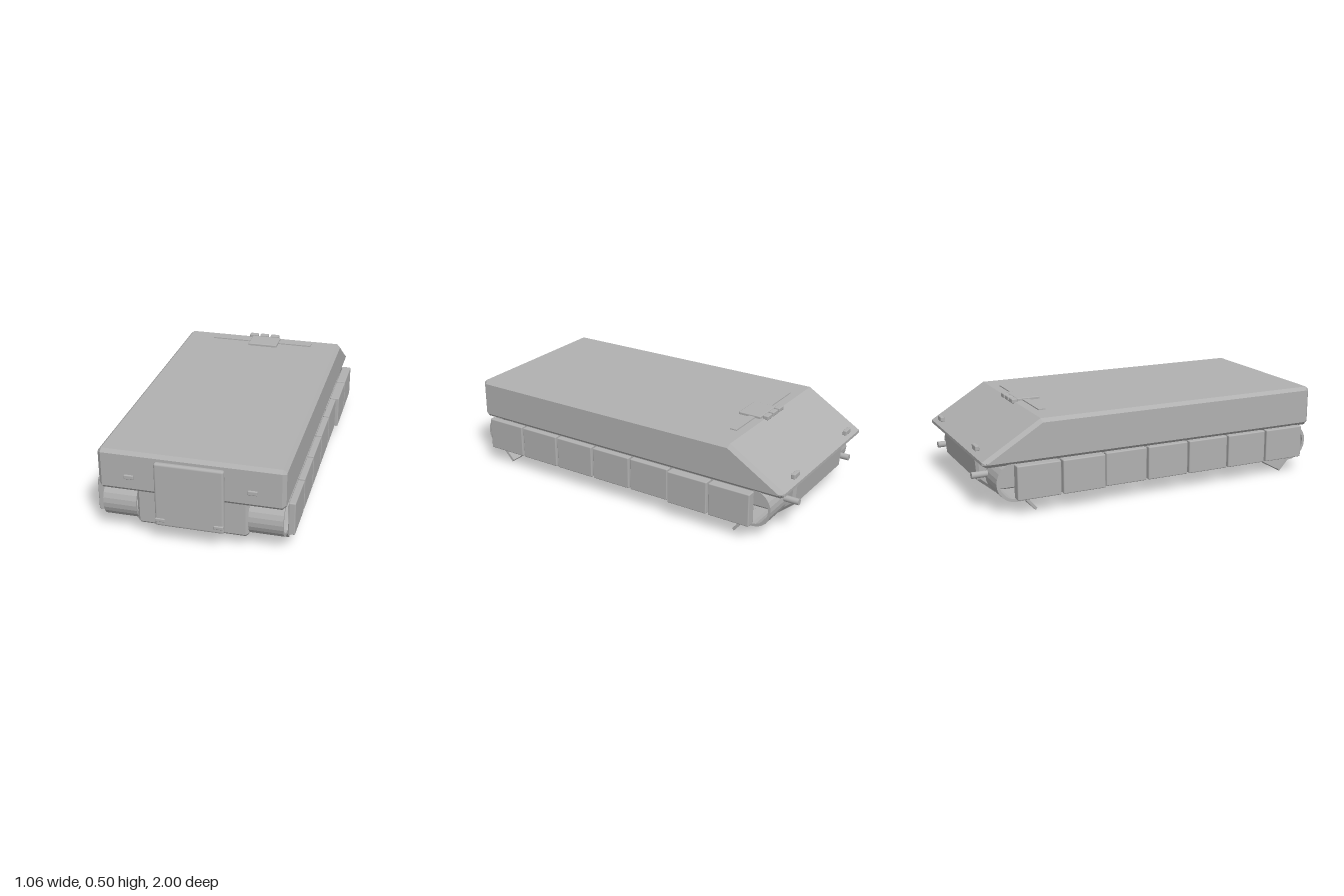
import * as THREE from 'three';
import { RoundedBoxGeometry } from 'three/addons/geometries/RoundedBoxGeometry.js';

export function createModel() {
  const model = new THREE.Group();
  model.name = 'armouredCarrier';
  const grey = new THREE.MeshStandardMaterial({ color: 0xb0b0b0 });
  grey.name = 'plain grey';

  function add(name, geometry, x = 0, y = 0, z = 0) {
    const mesh = new THREE.Mesh(geometry, grey);
    mesh.name = name;
    mesh.position.set(x, y, z);
    model.add(mesh);
    return mesh;
  }

  // Box from its limits, with slightly softened edges
  function block(name, [x0, x1], [y0, y1], [z0, z1], r = 0.005) {
    const g = new RoundedBoxGeometry(x1 - x0, y1 - y0, z1 - z0, 2, r);
    return add(name, g, (x0 + x1) / 2, (y0 + y1) / 2, (z0 + z1) / 2);
  }

  // Side profile of [z, y] points, extruded across x with chamfered ends
  function profile(points, width, bevel = 0) {
    const shape = new THREE.Shape(points.map(([z, y]) => new THREE.Vector2(z, y)));
    const depth = width - 2 * bevel;
    const g = new THREE.ExtrudeGeometry(shape, {
      depth, bevelEnabled: bevel > 0, bevelSize: bevel, bevelThickness: bevel,
      bevelOffset: -bevel, bevelSegments: 1,
    });
    g.translate(0, 0, -depth / 2);
    g.rotateY(-Math.PI / 2);
    return g;
  }

  // Hull: wide upper body with a sloped end, narrow lower tub
  add('upperHull', profile([
    [0.945, 0.257], [0.965, 0.277], [0.965, 0.462], [0.947, 0.48],
    [-0.67, 0.48], [-0.985, 0.288], [-0.985, 0.272], [-0.96, 0.257],
  ], 0.956, 0.019));
  add('lowerHull', profile([
    [0.925, 0.065], [0.94, 0.08], [0.94, 0.265],
    [-0.965, 0.265], [-0.955, 0.14], [-0.865, 0.065],
  ], 0.576, 0.014));

  // Curved track guards with an angled flap at the bottom
  function trackGuard(cz, end, flapStart, flapEnd) {
    const arc = (r) => Array.from({ length: 13 }, (_, i) => {
      const a = Math.PI / 2 - (i / 12) * Math.PI;
      return [cz + end * r * Math.cos(a), 0.165 + r * Math.sin(a)];
    });
    return profile([
      ...arc(0.105), [flapStart, 0.06], [flapEnd, 0],
      [flapEnd - end * 0.01, 0.012], [flapStart - end * 0.006, 0.074],
      ...arc(0.09).reverse(),
    ], 0.176);
  }
  for (const side of [-1, 1]) {
    add('frontTrackGuard', trackGuard(0.845, 1, 0.84, 0.785), side * 0.377);
    add('rearTrackGuard', trackGuard(-0.81, -1, -0.76, -0.71), side * 0.377);

    // Row of side skirts, the last two thicker
    for (let i = 0; i < 7; i++) {
      const width = i > 4 ? 0.053 : 0.036;
      const z = 0.892 - i * 0.247;
      const mid = side * (0.477 + width / 2);
      block('sideSkirt', [mid - width / 2, mid + width / 2], [0.086, 0.267], [z - 0.236, z], 0.006);
    }

    // Lamps and tow pins
    const x = side * 0.315;
    block('frontLamp', [x - 0.025, x + 0.025], [0.33, 0.354], [0.955, 0.973]);
    block('rearLamp', [x - 0.03, x + 0.03], [0.315, 0.343], [-0.98, -0.957]);
    const pin = new THREE.CylinderGeometry(0.017, 0.017, 0.1, 16);
    pin.rotateX(Math.PI / 2);
    add('towPin', pin, side * 0.31, 0.18, -0.946);

    // Door hinges
    const h = side * 0.15;
    block('doorHinge', [h - 0.026, h + 0.026], [0.126, 0.146], [0.98, 1.0]);
  }

  // Front door
  block('frontDoor', [-0.177, 0.177], [0.1, 0.452], [0.964, 0.994], 0.012);

  // Roof hatch, bar and periscopes
  block('roofHatch', [-0.07, 0.106], [0.475, 0.494], [-0.653, -0.522]);
  add('roofBar', new THREE.BoxGeometry(0.612, 0.01, 0.038), 0, 0.481, -0.603);
  for (const x of [-0.065, 0, 0.065]) {
    block('periscope', [x - 0.026, x + 0.026], [0.474, 0.498], [-0.69, -0.658]);
  }

  return model;
}
